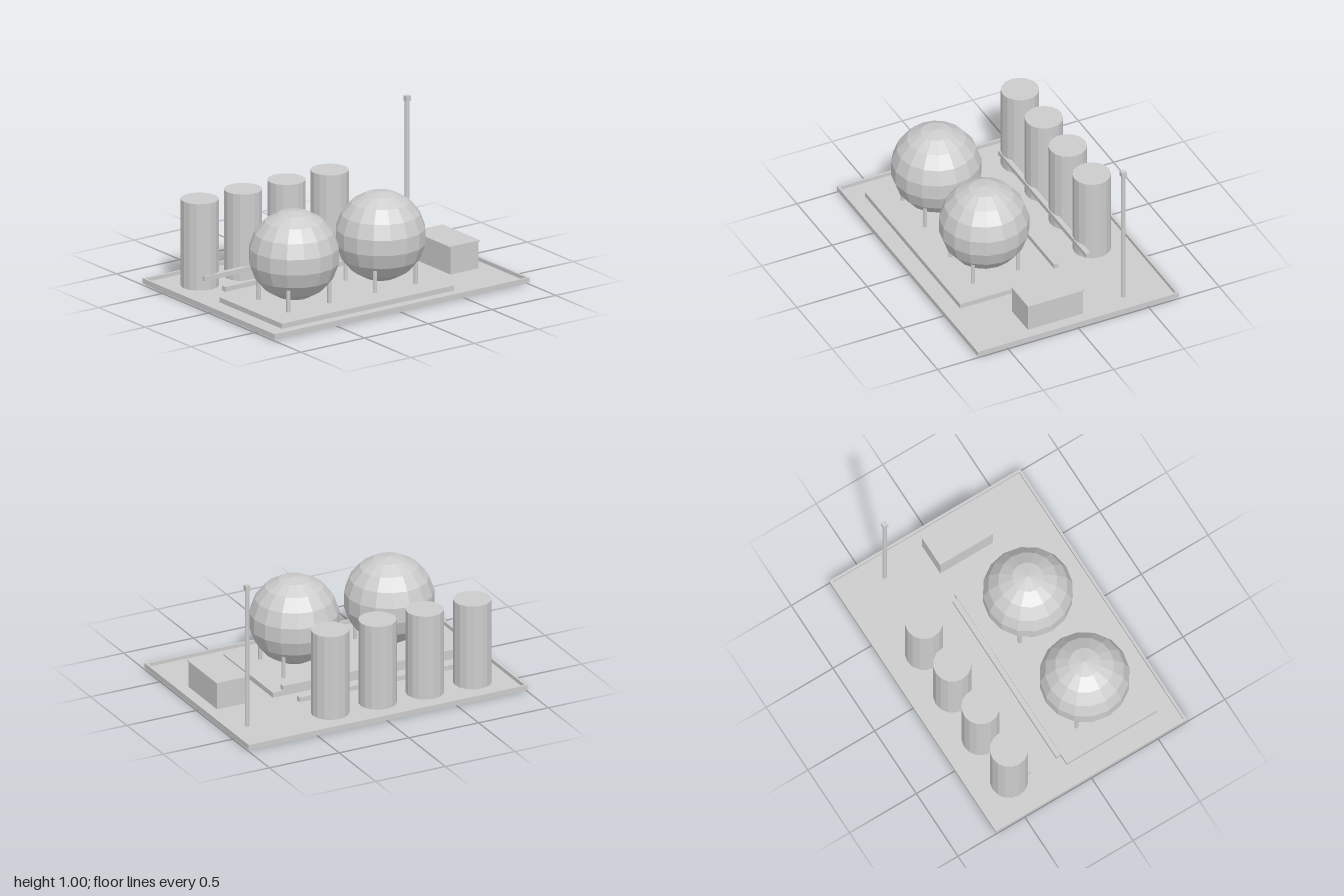
import * as THREE from 'three';

export function createModel() {
  const model = new THREE.Group();
  model.name = 'tankFarm';
  const grey = new THREE.MeshStandardMaterial({ color: 0xcccccc, flatShading: true });
  grey.name = 'light grey';

  const add = (name, geometry, x = 0, y = 0, z = 0) => {
    const mesh = new THREE.Mesh(geometry, grey);
    mesh.name = name;
    mesh.position.set(x, y, z);
    model.add(mesh);
    return mesh;
  };
  // box given by its limits on each axis
  const box = (name, x0, x1, y0, y1, z0, z1) =>
    add(name, new THREE.BoxGeometry(x1 - x0, y1 - y0, z1 - z0),
      (x0 + x1) / 2, (y0 + y1) / 2, (z0 + z1) / 2);
  // upright cylinder given by its radius and height limits
  const post = (name, r, y0, y1, x, z, sides) =>
    add(name, new THREE.CylinderGeometry(r, r, y1 - y0, sides), x, (y0 + y1) / 2, z);

  // ground slab with a low curb round it
  box('groundSlab', -0.99, 0.99, 0.004, 0.02, -0.705, 0.705);
  for (const s of [-1, 1]) {
    const a = [0.985 * s, s].sort((p, q) => p - q);
    const b = [0.7 * s, 0.715 * s].sort((p, q) => p - q);
    box('sideCurb', a[0], a[1], 0.012, 0.045, -0.7, 0.7);
    box('endCurb', -1, 1, 0.012, 0.045, b[0], b[1]);
  }

  // raised pad with two spherical tanks on four legs each
  box('tankPad', -0.85, 0.5, 0, 0.054, -0.09, 0.59);
  for (const x of [-0.513, 0.167]) {
    add('sphereTank', new THREE.SphereGeometry(0.293, 16, 9), x, 0.367, 0.253);
    for (const dx of [-0.16, 0.16])
      for (const dz of [-0.16, 0.16])
        post('tankLeg', 0.014, 0.054, 0.2, x + dx, 0.253 + dz, 8);
  }

  // row of upright tanks
  for (let i = 0; i < 4; i++)
    post('uprightTank', 0.123, 0.02, 0.597, -0.74 + 0.34 * i, -0.455, 16);

  // two pipe runs
  box('rearPipe', -0.795, 0.45, 0.086, 0.118, -0.36, -0.328);
  box('frontPipe', -0.795, 0.45, 0.076, 0.108, -0.135, -0.102);

  // control hut
  box('hutWalls', 0.675, 0.897, 0.003, 0.2, -0.085, 0.308);
  box('hutRoof', 0.667, 0.905, 0.2, 0.207, -0.093, 0.31);

  // mast with a lamp on top
  post('mast', 0.015, 0.002, 0.966, 0.845, -0.397, 8);
  box('mastLamp', 0.828, 0.862, 0.965, 1.0, -0.414, -0.38);

  return model;
}
